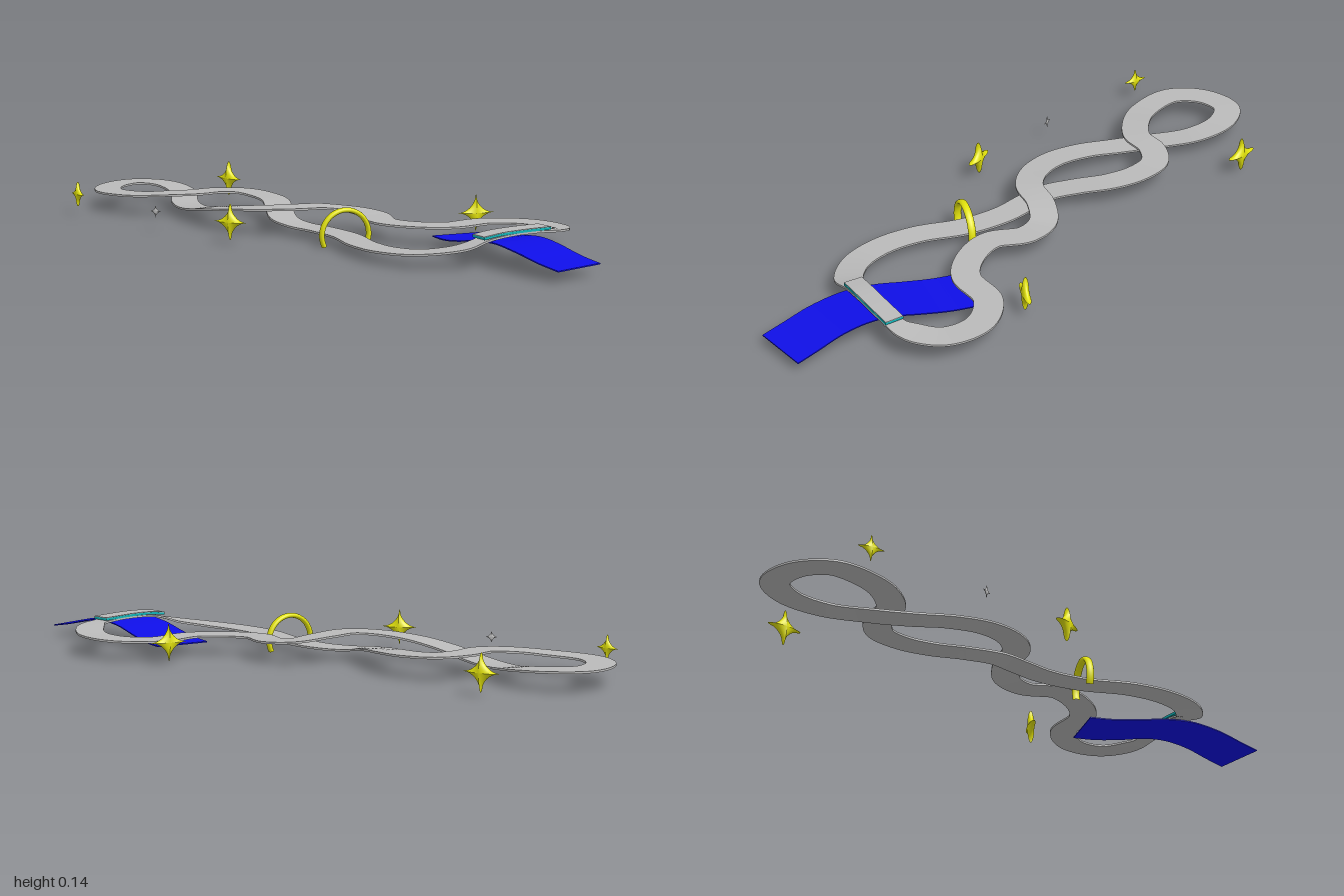
import * as THREE from 'three';
import { toCreasedNormals } from 'three/addons/utils/BufferGeometryUtils.js';

const material = (name, color, extra = {}) => {
  const m = new THREE.MeshStandardMaterial({ color, ...extra });
  m.name = name;
  return m;
};

// Sweeps a flat rectangular section along a curve, keeping it level from side to side.
function ribbon(points, closed, width, thickness, steps) {
  const curve = new THREE.CatmullRomCurve3(points.map((p) => new THREE.Vector3(...p)), closed);
  const widthAt = typeof width === 'function' ? width : () => width;
  const pos = [], index = [];
  const rings = closed ? steps : steps + 1;
  for (let i = 0; i < rings; i++) {
    const p = curve.getPointAt(i / steps);
    const t = curve.getTangentAt(i / steps);
    const side = new THREE.Vector3(t.z, 0, -t.x).normalize().multiplyScalar(widthAt(p) / 2);
    for (const [s, v] of [[1, -1], [1, 1], [-1, 1], [-1, -1]]) {
      pos.push(p.x + s * side.x, p.y + v * thickness / 2, p.z + s * side.z);
    }
  }
  for (let i = 0; i < steps; i++) {
    const a = i * 4, b = ((i + 1) % rings) * 4;
    for (let k = 0; k < 4; k++) {
      const n = (k + 1) % 4;
      index.push(a + k, a + n, b + n, a + k, b + n, b + k);
    }
  }
  if (!closed) {
    const e = steps * 4;
    index.push(0, 3, 2, 0, 2, 1, e, e + 1, e + 2, e, e + 2, e + 3);
  }
  const g = new THREE.BufferGeometry();
  g.setAttribute('position', new THREE.Float32BufferAttribute(pos, 3));
  g.setIndex(index);
  return toCreasedNormals(g, 0.6);
}

// Four-pointed sparkle: a flattened sphere with a concave outline.
function sparkle(radius, depth) {
  const g = new THREE.SphereGeometry(1, 48, 16);
  g.rotateX(Math.PI / 2);
  const p = g.attributes.position;
  const bend = (v) => Math.sign(v) * Math.abs(v) ** 3.4;
  for (let i = 0; i < p.count; i++) {
    const x = p.getX(i), y = p.getY(i), r = Math.hypot(x, y);
    if (r > 1e-6) p.setXY(i, bend(x / r) * r * radius, bend(y / r) * r * radius);
    p.setZ(i, p.getZ(i) * depth);
  }
  g.computeVertexNormals();
  return g;
}

export function createModel() {
  const group = new THREE.Group();
  const grey = material('road grey', 0xbababa);
  const blue = material('water blue', 0x0f0fe6);
  const teal = material('bridge teal', 0x10b4b8);
  const yellow = material('bright yellow', 0xe2e20c);
  const add = (name, geometry, mat) => {
    const mesh = new THREE.Mesh(geometry, mat);
    mesh.name = name;
    group.add(mesh);
    return mesh;
  };

  // Closed road loop that weaves over and under itself
  const road = [
    [-0.40, 0.068, -0.95], [-0.505, 0.067, -0.90], [-0.55, 0.066, -0.79], [-0.48, 0.07, -0.655],
    [-0.39, 0.078, -0.585], [-0.29, 0.082, -0.55], [-0.20, 0.081, -0.57], [-0.11, 0.078, -0.545],
    [-0.063, 0.074, -0.46], [-0.05, 0.07, -0.355], [-0.075, 0.058, -0.24], [-0.093, 0.043, -0.13],
    [-0.07, 0.034, -0.05], [-0.025, 0.032, 0.05], [0.008, 0.034, 0.20], [0.005, 0.036, 0.37],
    [0.035, 0.038, 0.50], [0.11, 0.045, 0.61], [0.23, 0.064, 0.67], [0.32, 0.088, 0.663],
    [0.41, 0.095, 0.642], [0.50, 0.094, 0.619], [0.585, 0.086, 0.585], [0.645, 0.073, 0.475],
    [0.61, 0.068, 0.345], [0.49, 0.066, 0.275], [0.345, 0.066, 0.303], [0.24, 0.066, 0.255],
    [0.165, 0.067, 0.16], [0.175, 0.07, 0.035], [0.13, 0.077, -0.04], [0.03, 0.09, -0.067],
    [-0.075, 0.094, -0.063], [-0.165, 0.089, -0.11], [-0.245, 0.077, -0.21], [-0.295, 0.058, -0.345],
    [-0.315, 0.039, -0.475], [-0.31, 0.036, -0.61], [-0.277, 0.054, -0.765], [-0.312, 0.065, -0.89],
  ];
  const roadWidth = (p) => {
    if (p.z < 0.5) return 0.097;
    const away = THREE.MathUtils.smoothstep(Math.abs(p.x - 0.42), 0.13, 0.2);
    return THREE.MathUtils.lerp(0.064, 0.097, away);
  };
  add('road', ribbon(road, true, roadWidth, 0.007, 400), grey);

  // Bridge: teal layer topped by a grey deck
  const span = (y) => [[0.285, y - 0.007, 0.669], [0.35, y, 0.656], [0.42, y + 0.002, 0.64], [0.55, y, 0.605]];
  add('bridgeBand', ribbon(span(0.101), false, 0.066, 0.008, 30), teal);
  add('bridgeDeck', ribbon(span(0.1062), false, 0.064, 0.0025, 30), grey);

  // Rolling strip of water under the bridge
  const water = [
    [0.375, 0.036, 0.31], [0.377, 0.039, 0.4], [0.382, 0.053, 0.5], [0.392, 0.072, 0.6],
    [0.412, 0.081, 0.7], [0.436, 0.07, 0.8], [0.466, 0.05, 0.89], [0.495, 0.037, 0.965],
  ];
  add('water', ribbon(water, false, 0.195, 0.004, 60), blue);

  // Arch across the road
  const overhang = 0.45;
  const arch = new THREE.TorusGeometry(0.084, 0.0085, 12, 48, Math.PI + 2 * overhang);
  arch.rotateZ(-overhang);
  arch.scale(1, 1, 1.6);
  add('arch', arch, yellow).position.set(0.008, 0.039, 0.2);

  // Sparkles around the road: x, z, turn, radius, depth, colour
  for (const [x, z, turn, radius, depth, mat] of [
    [-0.063, -0.86, -1.14, 0.064, 0.016, yellow],
    [-0.69, -0.70, -1.33, 0.045, 0.01, yellow],
    [-0.515, -0.285, -0.78, 0.022, 0.003, grey],
    [-0.345, 0.035, -0.85, 0.062, 0.016, yellow],
    [0.508, 0.155, -0.09, 0.064, 0.013, yellow],
  ]) {
    const star = add('sparkle', sparkle(radius, depth), mat);
    star.position.set(x, mat === grey ? 0.07 : 0.076, z);
    star.rotation.y = turn;
  }
  return group;
}
